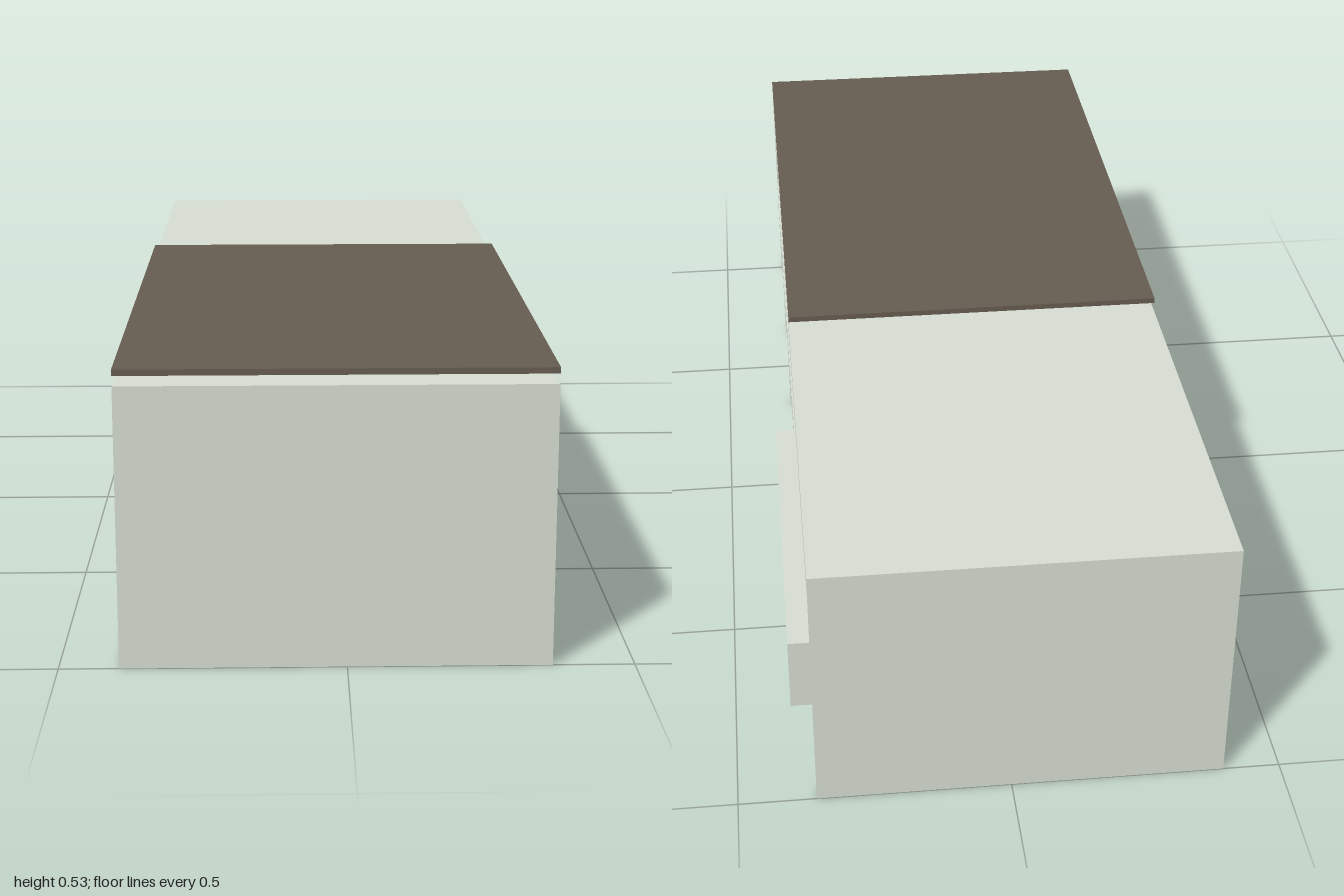
import * as THREE from 'three';

const material = (color) => new THREE.MeshStandardMaterial({ color });

export function createModel() {
  const model = new THREE.Group();
  model.name = 'building';
  const wall = material(0xd5dcd0);
  const glass = material(0x5a6b71);
  const taupe = material(0x9c9892);
  const beige = material(0xc6beb4);
  const brown = material(0x665c50);

  // Box given by its minimum and maximum on each axis
  function block(name, mat, [x0, x1], [y0, y1], [z0, z1]) {
    const mesh = new THREE.Mesh(new THREE.BoxGeometry(x1 - x0, y1 - y0, z1 - z0), mat);
    mesh.position.set((x0 + x1) / 2, (y0 + y1) / 2, (z0 + z1) / 2);
    mesh.name = name;
    model.add(mesh);
  }

  const left = -0.395, core = 0.325, face = 0.357, bayFace = 0.395;
  const length = [-1, 1];

  // Solid body behind the glazed facade
  block('body', wall, [left, core], [0, 0.503], length);

  // Horizontal bands of the facade
  block('roofFascia', wall, [core, face], [0.45, 0.503], length);
  block('upperBand', wall, [core, 0.351], [0.33, 0.37], length);
  block('ledge', wall, [core, face], [0.23, 0.254], length);
  block('floorBeam', wall, [core, face], [0.16, 0.178], length);

  // Columns and mullions between the six bays
  const bays = 6, pitch = 2 / bays, post = 0.014;
  for (let i = 0; i <= bays; i++) {
    const end = i === 0 || i === bays;
    const z = THREE.MathUtils.clamp(1 - i * pitch, -1 + post / 2, 1 - post / 2);
    const span = [z - post / 2, z + post / 2];
    block('column', wall, [core, face], [0, 0.16], span);
    block('shortColumn', wall, [core, face], [0.178, 0.23], span);
    block('middleMullion', wall, [core, end ? face : 0.351], [0.254, 0.33], span);
    block('upperMullion', wall, [core, end ? face : 0.351], [0.37, 0.45], span);
    if (end) block('endWall', wall, [core, face], [0.33, 0.37], span);
  }

  // Panels and windows of each bay
  for (let i = 0; i < bays; i++) {
    const span = [1 - (i + 1) * pitch + post / 2, 1 - i * pitch - post / 2];
    block('groundWindow', glass, [core, 0.332], [0, 0.16], span);
    block('parapetPanel', beige, [core, 0.335], [0.178, 0.23], span);
    block(i < 4 ? 'middlePanel' : 'middleWindow', i < 4 ? taupe : glass,
      [core, 0.344], [0.254, 0.33], span);
    block('upperWindow', glass, [core, 0.345], [0.37, 0.45], span);
  }

  // Projecting open frame around the two rear middle windows
  const frame = [-1, -0.333];
  block('frameSill', wall, [0.344, bayFace], [0.225, 0.252], frame);
  block('frameTop', wall, [0.344, bayFace], [0.333, 0.365], frame);
  for (const z of [-0.993, -0.6665, -0.34]) {
    block('frameFin', wall, [0.344, bayFace], [0.252, 0.333], [z - 0.007, z + 0.007]);
  }

  // Raised roof panel on four short supports
  block('roofPanel', brown, [left, face], [0.521, 0.532], [-0.175, 1]);
  for (const x of [-0.361, 0.324]) {
    for (const z of [0, 0.83]) {
      block('roofSupport', brown, [x - 0.011, x + 0.011], [0.503, 0.521], [z - 0.009, z + 0.009]);
    }
  }

  return model;
}
